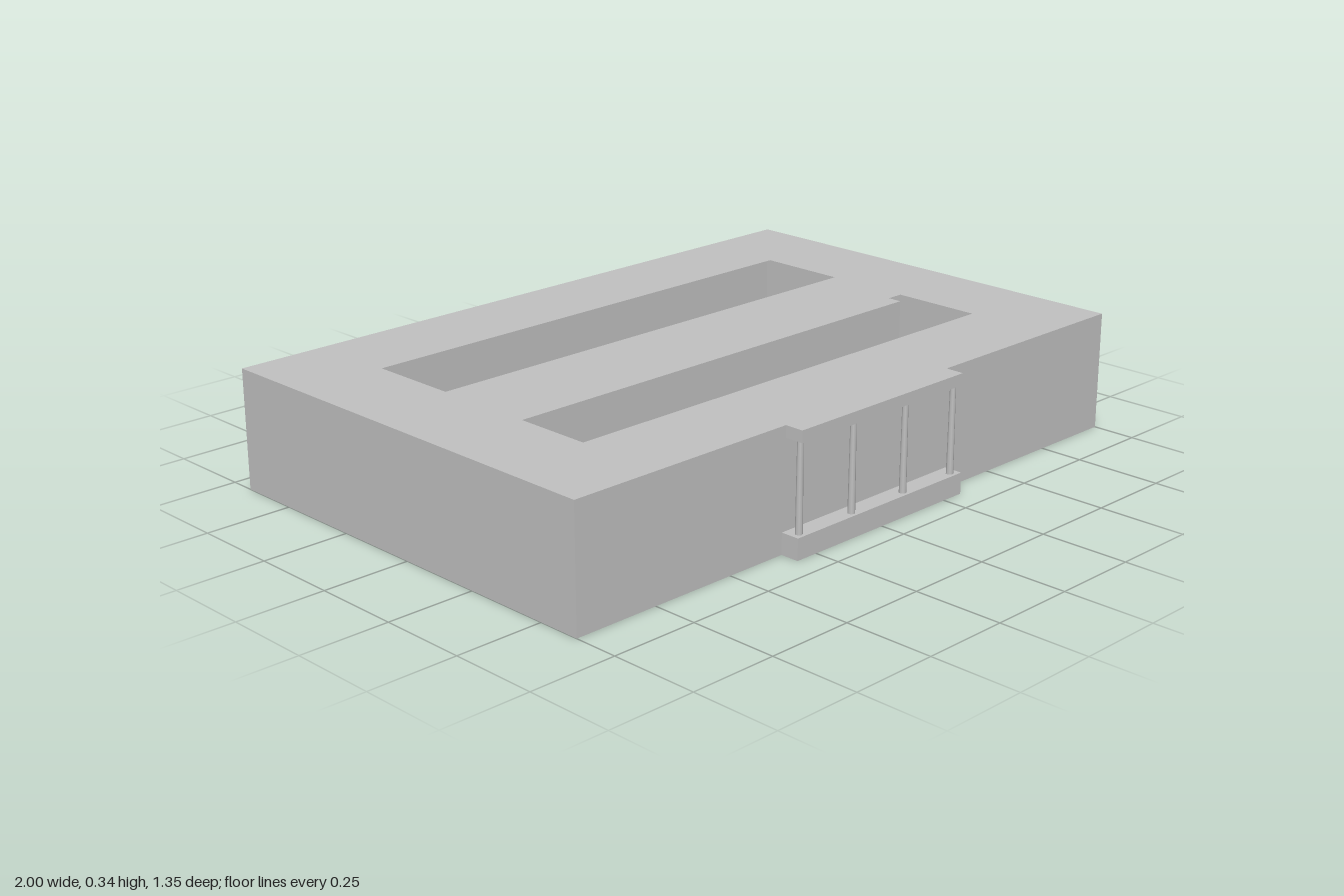
import * as THREE from 'three';

export function createModel() {
  const model = new THREE.Group();
  const grey = new THREE.MeshStandardMaterial({ color: 0xc0c0c0 });
  grey.name = 'light grey';

  const H = 0.34, BACK = -0.677, FRONT = 0.623, T = 0.004;
  const slotX = 0.74;
  const slots = [[-0.42, -0.155], [0.10, 0.365]];

  const add = (name, geometry) => {
    const mesh = new THREE.Mesh(geometry, grey);
    mesh.name = name;
    model.add(mesh);
    return mesh;
  };
  // Box given by its limits on each axis
  const box = (name, x0, x1, y0, y1, z0, z1) =>
    add(name, new THREE.BoxGeometry(x1 - x0, y1 - y0, z1 - z0))
      .position.set((x0 + x1) / 2, (y0 + y1) / 2, (z0 + z1) / 2);
  const trace = (path, x, z0, z1) =>
    path.moveTo(-x, -z0).lineTo(x, -z0).lineTo(x, -z1).lineTo(-x, -z1).closePath();

  // Roof slab with two long light wells
  const roof = trace(new THREE.Shape(), 1, BACK, FRONT);
  for (const [z0, z1] of slots) roof.holes.push(trace(new THREE.Path(), slotX, z0, z1));
  const roofGeometry = new THREE.ExtrudeGeometry(roof, { depth: 0.02, bevelEnabled: false });
  roofGeometry.rotateX(-Math.PI / 2);
  add('roof', roofGeometry).position.y = H - 0.02;

  // Thin outer walls, open underneath
  const top = H - 0.02;
  box('backWall', -1, 1, 0, top, BACK, BACK + T);
  box('frontWall', -1, 1, 0, top, FRONT - T, FRONT);
  box('rightWall', -1, -1 + T, 0, top, BACK + T, FRONT - T);
  box('leftWall', 1 - T, 1, 0, top, BACK + T, FRONT - T);

  // Floor, middle core between the wells, and edge beams reaching the side walls
  box('floor', -slotX, slotX, 0, 0.055, -0.42, 0.365);
  box('core', -slotX, slotX, 0.055, top, -0.155, 0.10);
  for (const s of [-1, 1]) {
    const x0 = s < 0 ? -1 + T : slotX, x1 = s < 0 ? -slotX : 1 - T;
    box('backBeam', x0, x1, 0, 0.055, -0.42, -0.416);
    box('frontBeam', x0, x1, 0, 0.055, 0.361, 0.365);
  }

  // Entrance porch
  box('porchBase', -0.318, 0.318, 0, 0.06, FRONT, 0.677);
  box('porchCanopy', -0.308, 0.308, 0.307, H, FRONT, 0.677);
  for (const x of [-0.295, -0.1, 0.1, 0.292]) {
    add('porchColumn', new THREE.CylinderGeometry(0.008, 0.01, 0.247, 8).toNonIndexed())
      .position.set(x, 0.1835, 0.659);
  }
  return model;
}
